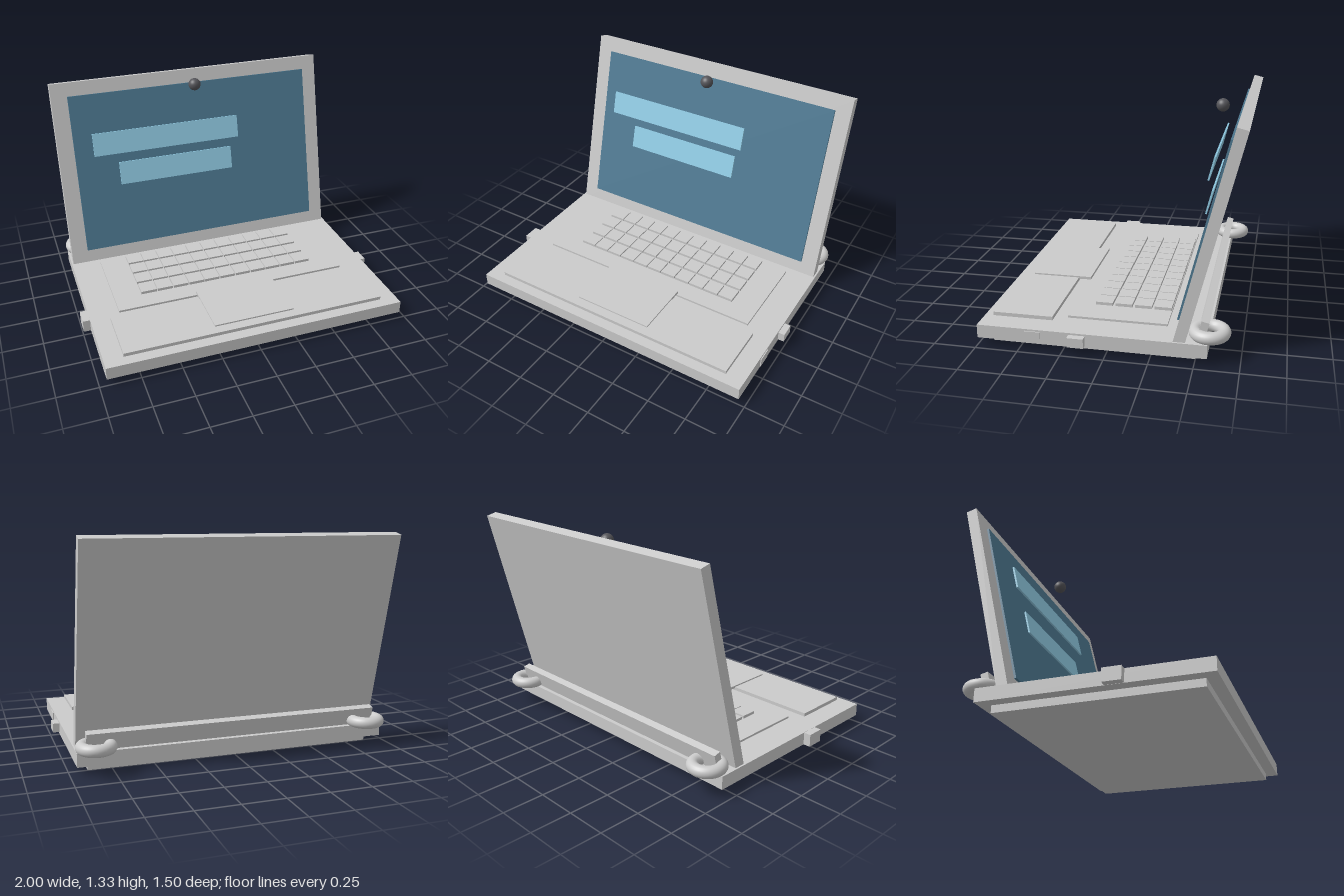
import * as THREE from 'three';

const material = (color) => new THREE.MeshStandardMaterial({ color });

// Box given by its [min, max] range on each axis
function box(parent, name, [x0, x1], [y0, y1], [z0, z1], mat) {
  const mesh = new THREE.Mesh(new THREE.BoxGeometry(x1 - x0, y1 - y0, z1 - z0), mat);
  mesh.position.set((x0 + x1) / 2, (y0 + y1) / 2, (z0 + z1) / 2);
  mesh.name = name;
  parent.add(mesh);
  return mesh;
}

export function createModel() {
  const model = new THREE.Group();
  model.name = 'laptop';
  const grey = material(0xcccccc);
  const screenBlue = material(0x4f7b94);
  const paleBlue = material(0x93cfe8);
  const dark = material(0x55555a);

  // Body
  box(model, 'bottomPlate', [-0.885, 0.89], [0, 0.046], [-0.5, 0.68], grey);
  box(model, 'base', [-0.955, 0.96], [0.045, 0.125], [-0.57, 0.75], grey);
  box(model, 'keyboardTray', [-0.767, 0.773], [0.124, 0.138], [-0.325, 0.262], grey);
  box(model, 'palmRest', [-0.837, 0.843], [0.134, 0.156], [0.335, 0.692], grey);
  box(model, 'touchpad', [-0.258, 0.262], [0.148, 0.165], [0.255, 0.632], grey);

  // Keys: 4 rows of 11
  const keys = new THREE.Group();
  keys.name = 'keys';
  model.add(keys);
  for (let row = 0; row < 4; row++) {
    for (let col = 0; col < 11; col++) {
      const x = -0.54 + col * 0.1085;
      const z = -0.271 + row * 0.119;
      box(keys, 'key', [x - 0.051, x + 0.051], [0.137, 0.156], [z - 0.051, z + 0.051], grey);
    }
  }

  // Side ports
  box(model, 'rightPort', [-1, -0.85], [0.046, 0.124], [0.17, 0.277], grey);
  box(model, 'leftRearPort', [0.9, 1], [0.057, 0.114], [0.113, 0.208], grey);
  box(model, 'leftFrontPort', [0.9, 0.966], [0.057, 0.114], [0.373, 0.466], grey);

  // Lid, leaning back about its lower front edge
  const lid = new THREE.Group();
  lid.name = 'lid';
  lid.position.set(0, 0.125, -0.38);
  lid.rotation.x = -0.247;
  model.add(lid);
  box(lid, 'lidPanel', [-0.944, 0.949], [-0.02, 1.24], [-0.066, 0], grey);
  box(lid, 'screen', [-0.837, 0.847], [0.084, 1.149], [-0.002, 0.013], screenBlue);
  box(lid, 'upperWindow', [-0.718, 0.3], [0.742, 0.894], [0.071, 0.082], paleBlue);
  box(lid, 'lowerWindow', [-0.552, 0.251], [0.518, 0.672], [0.029, 0.04], paleBlue);
  box(lid, 'hingeBar', [-0.9, 0.905], [0.045, 0.149], [-0.163, -0.118], grey);

  // Camera ball
  const camera = new THREE.Mesh(new THREE.SphereGeometry(0.041, 32, 20), dark);
  camera.name = 'cameraBall';
  camera.position.set(0.002, 1.268, -0.537);
  model.add(camera);

  // Hinge rings lying flat at the rear corners
  for (const side of [-1, 1]) {
    const ring = new THREE.Mesh(new THREE.TorusGeometry(0.082, 0.036, 20, 40), grey);
    ring.name = side > 0 ? 'leftHingeRing' : 'rightHingeRing';
    ring.rotation.x = Math.PI / 2;
    ring.position.set(side * 0.848 + 0.003, 0.156, -0.573);
    model.add(ring);
  }

  return model;
}
